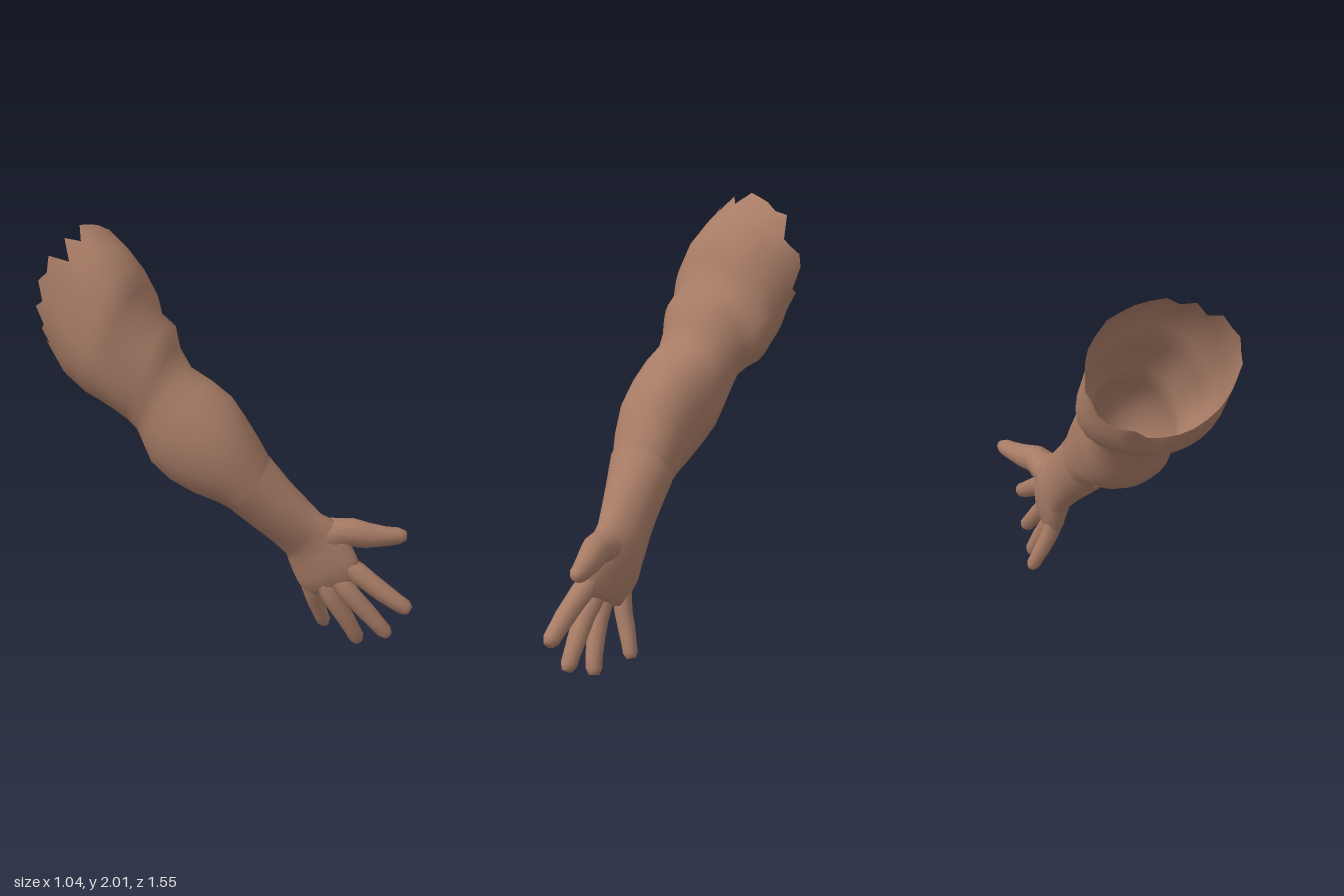
import * as THREE from 'three';

const V = (p) => new THREE.Vector3(...p);
const skin = new THREE.MeshStandardMaterial({ color: 0xa87c66, side: THREE.DoubleSide });
skin.name = 'skin';

// Small seeded generator for the ragged rim
function seeded(seed) {
  return () => (seed = (seed * 16807) % 2147483647) / 2147483647;
}

// Skin a row of oval sections {c: centre, a: upper half-axis, w: half-width}
function loft(name, sections, { sides = 24, swell = () => 1, ragged = 0, capEnd = false } = {}) {
  const pos = [], index = [], rand = seeded(77);
  const last = sections.length - 1;
  sections.forEach(({ c, a, w }, i) => {
    const d = sections[Math.min(i + 1, last)].c.clone()
      .sub(sections[Math.max(i - 1, 0)].c).normalize();
    const side = a.clone().cross(d).normalize().multiplyScalar(w);
    for (let j = 0; j < sides; j++) {
      const t = (j / sides) * Math.PI * 2, k = swell(i, t);
      const p = c.clone().addScaledVector(a, Math.cos(t) * k).addScaledVector(side, Math.sin(t) * k);
      if (i === 0 && ragged) p.addScaledVector(d, (rand() - 0.5) * ragged);
      pos.push(p.x, p.y, p.z);
    }
  });
  for (let i = 0; i < last; i++) {
    for (let j = 0; j < sides; j++) {
      const k = (j + 1) % sides, r = i * sides, n = r + sides;
      index.push(r + j, n + j, r + k, n + j, n + k, r + k);
    }
  }
  if (capEnd) {
    const tip = pos.length / 3, r = last * sides, c = sections[last].c;
    pos.push(c.x, c.y, c.z);
    for (let j = 0; j < sides; j++) index.push(r + j, tip, r + ((j + 1) % sides));
  }
  const g = new THREE.BufferGeometry();
  g.setAttribute('position', new THREE.Float32BufferAttribute(pos, 3));
  g.setIndex(index);
  g.computeVertexNormals();
  const mesh = new THREE.Mesh(g, skin);
  mesh.name = name;
  return mesh;
}

// Section from its upper point, its lower point and its half-width
function span([top, bottom, w]) {
  const t = V(top), b = V(bottom);
  return { c: t.clone().add(b).multiplyScalar(0.5), a: t.sub(b).multiplyScalar(0.5), w };
}

// Limb section: centre x, upper y z, lower y z, half-width
const limb = ([x, ty, tz, by, bz, w]) => span([[x, ty, tz], [x, by, bz], w]);

// Muscle swellings and hollows: ring, angle in degrees, amount
const muscles = [
  [0, -115, -0.07], [0, -60, 0.05], [0, 50, 0.05], [1, -50, -0.07], [2, -60, -0.08], [2, 60, -0.06],
  [3, 115, 0.17], [4, -65, -0.08], [5, -60, -0.07], [5, 45, 0.06], [6, 130, 0.04], [6, -70, -0.06],
  [7, 85, -0.04], [8, -110, 0.08], [9, 45, 0.13], [9, -125, 0.09], [10, 110, -0.04], [11, 50, 0.05],
];
function muscleSwell(i, t) {
  let k = 1;
  for (const [ring, deg, amount] of muscles) {
    const da = Math.sin((t - THREE.MathUtils.degToRad(deg)) / 2) * 2;
    k += amount * Math.exp(-((i - ring) ** 2) / 1.4 - (da * da) / 0.35);
  }
  return k;
}

// Tapered finger through a few joints, with a blunt rounded tip
function finger(name, joints, r0, r1) {
  const curve = new THREE.CatmullRomCurve3(joints.map(V));
  const steps = [0, 0.2, 0.4, 0.6, 0.8, 0.93, 1];
  const sections = steps.map((u, i) => {
    const d = curve.getTangent(u);
    let r = THREE.MathUtils.lerp(r0, r1, u);
    if (i === 0) r *= 0.8;
    if (i === 3) r *= 1.04;
    if (i === 6) r *= 0.65;
    const a = new THREE.Vector3(1, 0, 0).cross(d).normalize().multiplyScalar(r);
    return { c: curve.getPoint(u), a, w: r };
  });
  return loft(name, sections, { sides: 10, capEnd: true });
}

export function createModel() {
  const arm = new THREE.Group();
  arm.name = 'arm';

  // Shoulder, upper arm and elbow, open at the torn rim
  arm.add(loft('upperArm', [
    [-0.19, 1.97, -0.665, 1.39, -0.745, 0.33],
    [-0.18, 1.92, -0.54, 1.28, -0.70, 0.32],
    [-0.165, 1.84, -0.445, 1.22, -0.61, 0.315],
    [-0.15, 1.74, -0.395, 1.19, -0.54, 0.295],
    [-0.14, 1.63, -0.375, 1.16, -0.48, 0.275],
    [-0.12, 1.56, -0.28, 1.12, -0.44, 0.25],
    [-0.10, 1.46, -0.25, 1.07, -0.41, 0.22],
    [-0.08, 1.37, -0.20, 1.00, -0.38, 0.21],
    [-0.06, 1.31, -0.10, 0.92, -0.345, 0.205],
    [-0.035, 1.23, -0.01, 0.85, -0.26, 0.20],
    [-0.005, 1.15, 0.06, 0.79, -0.17, 0.19],
    [0.04, 1.05, 0.115, 0.745, -0.07, 0.17],
    [0.08, 0.93, 0.17, 0.70, 0.0, 0.148],
  ].map(limb), { sides: 32, swell: muscleSwell, ragged: 0.1 }));

  // Forearm with a slightly proud upper edge, running into the flat palm
  arm.add(loft('forearmAndPalm', [
    ...[
      [0.075, 0.95, 0.17, 0.71, -0.02, 0.157],
      [0.135, 0.83, 0.25, 0.615, 0.06, 0.13],
      [0.19, 0.74, 0.32, 0.53, 0.13, 0.108],
      [0.23, 0.675, 0.37, 0.46, 0.175, 0.092],
    ].map(limb),
    ...[
      [[0.275, 0.65, 0.42], [0.23, 0.42, 0.19], 0.085],
      [[0.295, 0.575, 0.47], [0.24, 0.36, 0.21], 0.08],
      [[0.31, 0.495, 0.515], [0.24, 0.31, 0.24], 0.07],
      [[0.32, 0.42, 0.545], [0.25, 0.265, 0.265], 0.057],
      [[0.325, 0.385, 0.53], [0.265, 0.245, 0.29], 0.036],
    ].map(span),
  ], { capEnd: true }));

  // Fingers and thumb
  const digits = [
    ['thumb', [[0.255, 0.56, 0.34], [0.325, 0.59, 0.45], [0.41, 0.565, 0.55], [0.515, 0.56, 0.665]], 0.09, 0.037],
    ['indexFinger', [[0.30, 0.44, 0.47], [0.33, 0.375, 0.56], [0.37, 0.30, 0.66], [0.42, 0.23, 0.755]], 0.055, 0.038],
    ['middleFinger', [[0.28, 0.38, 0.42], [0.30, 0.29, 0.495], [0.35, 0.18, 0.58], [0.40, 0.075, 0.655]], 0.053, 0.036],
    ['ringFinger', [[0.26, 0.35, 0.37], [0.275, 0.25, 0.415], [0.325, 0.13, 0.47], [0.375, 0.01, 0.505]], 0.05, 0.036],
    ['littleFinger', [[0.25, 0.36, 0.28], [0.275, 0.26, 0.295], [0.325, 0.15, 0.30], [0.375, 0.045, 0.31]], 0.047, 0.033],
  ];
  for (const d of digits) arm.add(finger(...d));

  return arm;
}
